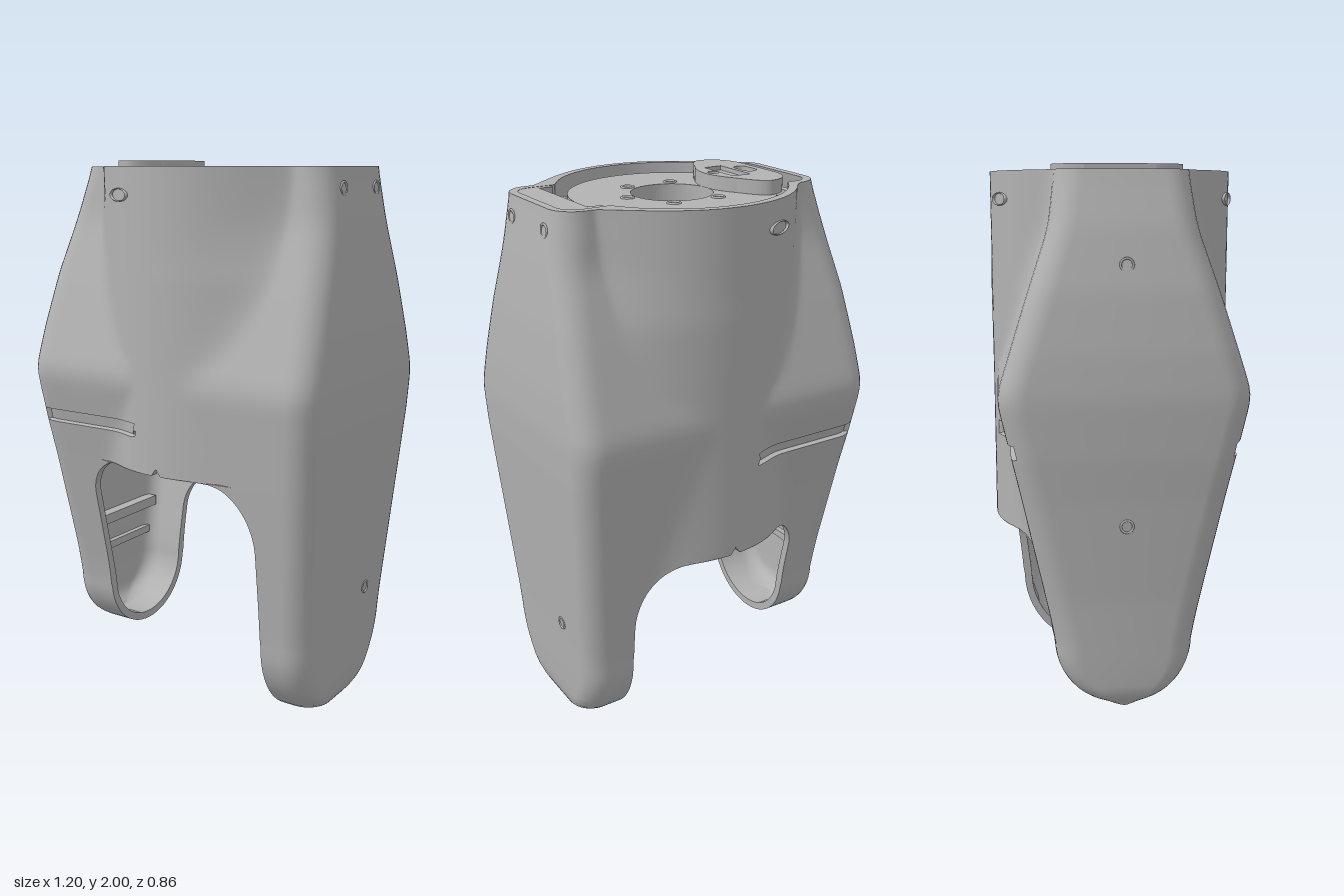
import * as THREE from 'three';
import { toCreasedNormals } from 'three/addons/utils/BufferGeometryUtils.js';

const TOP = 1.98, R = 0.43, WALL = 0.03;
const grey = new THREE.MeshStandardMaterial({ color: 0xb2b2b2, side: THREE.DoubleSide });
grey.name = 'plainGrey';

// Piecewise linear profile, slightly rounded at its corners
const lerpAt = (p, y) => {
  if (y <= p[0][0]) return p[0][1];
  for (let i = 1; i < p.length; i++) if (y <= p[i][0]) {
    const [a, b] = [p[i - 1], p[i]];
    return a[1] + (b[1] - a[1]) * (y - a[0]) / (b[0] - a[0]);
  }
  return p[p.length - 1][1];
};
const soft = (p, y, w) => [-2, -1, 0, 1, 2].reduce((s, k) => s + lerpAt(p, y + k * w) / 5, 0);

// Each pod: half depth and outer width by height, arch corner radii (rx, ry); the right leg is shorter and slimmer
const UPPER = [[1.25, 0.426], [1.55, 0.33], [1.8, 0.245], [1.98, 0.222]];
const SIDES = {
  left: { s: 1, yb: 0, yc: 0.33, blend: 0.16, rx: 0.2, ry: 0.24,
    depth: [[0.3, 0.318], [0.45, 0.335], [0.9, 0.388], ...UPPER],
    width: [[0, 0.43], [0.01, 0.475], [0.03, 0.505], [0.06, 0.525], [0.1, 0.538], [0.4, 0.552], [0.8, 0.578], [1.1, 0.598],
      [1.25, 0.602], [1.4, 0.598], [1.6, 0.585], [1.8, 0.565], [1.98, 0.54]] },
  right: { s: -1, yb: 0.15, yc: 0.38, blend: 0.05, rx: 0.14, ry: 0.15,
    depth: [[0.3, 0.225], [0.45, 0.25], [0.9, 0.347], ...UPPER],
    width: [[0.15, 0.52], [0.17, 0.55], [0.21, 0.57], [0.55, 0.572], [0.9, 0.587], [1.05, 0.597], [1.25, 0.602], [1.4, 0.594],
      [1.6, 0.571], [1.8, 0.53], [1.98, 0.475]] },
};

// Arch cut between the legs: where a row starts in x, with a small V notch at the centre
const FRONT = 0.918, BACK = 0.72;
const archX = (y, ya, rx, ry) => {
  if (y < ya - ry) return 0.37;
  if (y < ya) return 0.37 - rx + rx * Math.sqrt(Math.max(0, 1 - ((y - ya + ry) / ry) ** 2));
  return lerpAt([[ya, 0.37 - rx], [ya + 0.003, 0.02], [ya + 0.03, 0]], y);
};

// One horizontal section: centre front, round the pod, to centre back
function section(side, y, inner) {
  const { s, yb, yc, blend, depth, width, rx, ry } = side, t = inner ? WALL : 0;
  let d = soft(depth, Math.max(y, yc), 0.02) - t, yy = y;
  if (y < yc) {
    const f = Math.sqrt(Math.max(0, 1 - ((yc - y) / (yc - yb)) ** 2));
    d *= f;
    if (inner) yy = yc + (y - yc) * (yc - yb - WALL) / (yc - yb);
  }
  const r = R - t, X = soft(width, y, 0.008) - t, c = Math.min(0.09 - t, d), xe = X - c;
  const k = Math.max(1e-4, (inner ? 0.01 : blend) * Math.min(1, Math.abs(r - d) / 0.12));
  const outline = x => {
    const a = Math.sqrt(Math.max(0, r * r - x * x));
    const h = Math.max(k - Math.abs(a - d), 0) / k;
    return y < yc ? d : Math.max(a, d) + h * h * k / 4;
  };
  const half = ya => {
    const xa = archX(y, ya, rx, ry), pts = [];
    const xm = Math.min(Math.max(Math.sqrt(Math.max(0, r * r - d * d)), xa + 0.3 * (xe - xa)), xe - 0.2 * (xe - xa));
    for (let i = 0; i < 14; i++) { const x = xa + (xm - xa) * i / 14; pts.push([x, outline(x)]); }
    for (let i = 0; i <= 10; i++) { const x = xm + (xe - xm) * i / 10; pts.push([x, outline(x)]); }
    for (let i = 1; i <= 7; i++) {
      const a = i / 7 * Math.PI / 2;
      pts.push([xe + c * Math.sin(a), d - c + c * Math.cos(a)]);
    }
    // long groove on the right pod
    if (s < 0 && !inner && y > 1.05 && y < 1.092) for (const p of pts) if (p[0] > 0.11 && p[0] < 0.562) p[1] -= 0.02;
    return pts;
  };
  const f = half(FRONT).map(([x, z]) => [s * x, yy, z]);
  const b = half(BACK).map(([x, z]) => [s * x, yy, -z]).reverse();
  return [...f, ...b];
}

function loft(rows, flip) {
  const n = rows[0].length, index = [];
  for (let i = 0; i < rows.length - 1; i++) for (let j = 0; j < n - 1; j++) {
    const a = i * n + j, b = a + 1, c = a + n, d = c + 1;
    index.push(...(flip ? [a, c, b, b, c, d] : [a, b, c, b, d, c]));
  }
  const g = new THREE.BufferGeometry();
  g.setAttribute('position', new THREE.Float32BufferAttribute(rows.flat(2), 3));
  g.setIndex(index);
  return toCreasedNormals(g, 0.6);
}

// Row heights, closer together at the rounded foot, arches and groove
function heights({ yb, yc, ry }) {
  const ys = [1.046, 1.0505, 1.0915, 1.096, TOP];
  for (let i = 0; i <= 14; i++) ys.push(yb + (yc - yb) * (1 - Math.cos(i / 14 * Math.PI / 2)));
  for (let y = yc + 0.03; y < TOP - 0.01; y += 0.03) ys.push(y);
  for (const ya of [FRONT, BACK]) {
    for (let i = 0; i <= 10; i++) ys.push(ya - ry + ry * Math.sin(i / 10 * Math.PI / 2));
    ys.push(ya + 0.001, ya + 0.002, ya + 0.003, ya + 0.03);
  }
  return ys.sort((a, b) => a - b).filter((y, i) => i === 0 || y - ys[i - 1] > 0.0004);
}

export function createModel() {
  const model = new THREE.Group();
  model.name = 'legHousing';
  const add = (name, geo, x = 0, y = 0, z = 0, parent = model) => {
    const m = new THREE.Mesh(geo, grey);
    m.name = name;
    m.position.set(x, y, z);
    parent.add(m);
    return m;
  };
  const box = (name, x0, x1, y0, y1, z0, z1) =>
    add(name, new THREE.BoxGeometry(x1 - x0, y1 - y0, z1 - z0), (x0 + x1) / 2, (y0 + y1) / 2, (z0 + z1) / 2);
  const plate = (name, shape, y, h) =>
    add(name, new THREE.ExtrudeGeometry(shape, { depth: h, bevelEnabled: false, curveSegments: 40 }).rotateX(-Math.PI / 2), 0, y, 0);
  const hole = (x, y, r) => new THREE.Path().absarc(x, y, r, 0, Math.PI * 2, true);
  const points = list => list.map(p => new THREE.Vector2(...p));
  const slot = () => {
    const p = new THREE.Path();
    p.absarc(-0.309, 0.025, 0.026, 0, Math.PI);
    p.absarc(-0.309, -0.025, 0.026, Math.PI, Math.PI * 2);
    return p.closePath();
  };

  // Hollow shell in two halves, with rims along the arch and the top
  for (const [name, side] of Object.entries(SIDES)) {
    const ys = heights(side), g = new THREE.Group();
    g.name = name + 'Shell';
    model.add(g);
    const out = ys.map(y => section(side, y, false)), inn = ys.map(y => section(side, y, true));
    const last = out[0].length - 1, top = ys.length - 1;
    add(name + 'OuterWall', loft(out, side.s < 0), 0, 0, 0, g);
    add(name + 'InnerWall', loft(inn, side.s > 0), 0, 0, 0, g);
    add(name + 'FrontArchRim', loft([out.map(r => r[0]), inn.map(r => r[0])]), 0, 0, 0, g);
    add(name + 'BackArchRim', loft([out.map(r => r[last]), inn.map(r => r[last])]), 0, 0, 0, g);
    add(name + 'TopRim', loft([out[top], inn[top]], side.s < 0), 0, 0, 0, g);
  }

  // Solid rim and ledges inside the mouth
  const bridge = new THREE.Shape(points([[0.37, -0.2], [0.46, -0.2], [0.5, -0.175], [0.515, -0.14], [0.515, 0.14], [0.5, 0.175],
    [0.46, 0.2], [0.37, 0.2], [0.37, 0.17], [0.42, 0.17], [0.42, -0.17], [0.37, -0.17]]));
  plate('leftTopBridge', bridge, 1.93, 0.049);
  box('leftLedge', 0.37, 0.43, 1.86, 1.89, -0.18, 0.18);
  box('rightLedge', -0.44, -0.36, 1.84, 1.87, -0.17, 0.17);
  box('rightClip', -0.44, -0.41, 1.87, 1.93, -0.16, -0.05);
  box('rightClip', -0.44, -0.41, 1.87, 1.93, 0.13, 0.16);
  const a0 = Math.acos(0.365 / 0.405);
  for (const s of [1, -1]) {
    const seg = new THREE.Shape().absarc(0, 0, 0.405, s * Math.PI / 2 - a0, s * Math.PI / 2 + a0);
    plate('mouthRib', seg, 1.88, 0.03);
  }

  // Round mounting plate with its screws and ears
  const disc = new THREE.Shape().absarc(0, 0, 0.36, 0, Math.PI * 2);
  disc.holes.push(hole(0, 0, 0.143), slot());
  for (let i = 0; i < 6; i++) disc.holes.push(hole(0.177 * Math.cos(i * Math.PI / 3), 0.177 * Math.sin(i * Math.PI / 3), 0.014));
  plate('mountingPlate', disc, 1.87, 0.08);
  for (let i = 0; i < 6; i++) {
    const a = i * Math.PI / 3;
    add('screwCollar', new THREE.TorusGeometry(0.02, 0.005, 8, 24).rotateX(Math.PI / 2), 0.177 * Math.cos(a), 1.95, 0.177 * Math.sin(a));
  }
  box('plateTab', 0.33, 0.37, 1.87, 1.93, -0.11, 0.11);
  for (const x of [-0.318, 0.318]) for (const z of [-0.185, 0.185]) {
    const ear = new THREE.Shape().absarc(x, z, 0.032, 0, Math.PI * 2);
    ear.holes.push(hole(x, z, 0.013));
    plate('plateEar', ear, 1.9, 0.03);
  }

  // Cover on the right of the mounting plate, with a sunken socket
  const cover = new THREE.Shape();
  cover.moveTo(-0.362, -0.12);
  cover.quadraticCurveTo(-0.34, -0.22, -0.26, -0.225);
  cover.quadraticCurveTo(-0.22, -0.22, -0.18, -0.13);
  cover.quadraticCurveTo(-0.095, 0, -0.18, 0.13);
  cover.quadraticCurveTo(-0.22, 0.22, -0.26, 0.225);
  cover.quadraticCurveTo(-0.34, 0.22, -0.362, 0.12);
  cover.closePath();
  const corners = points([[-0.265, -0.09], [-0.195, -0.09], [-0.195, 0.09], [-0.265, 0.09]]);
  cover.holes.push(slot(), hole(-0.172, 0, 0.02), new THREE.Path(corners).closePath());
  plate('cover', cover, 1.951, 0.049);
  const socket = new THREE.Shape(corners);
  socket.holes.push(hole(-0.225, 0.06, 0.012), hole(-0.225, -0.06, 0.012));
  plate('coverSocket', socket, 1.951, 0.034);

  // Screw seats on the outer faces and oval ports on the round wall
  const seats = [['left', 1.91, 0.12], ['left', 1.91, -0.12], ['left', 0.45, -0.12], ['right', 1.68, 0], ['right', 0.82, 0]];
  for (const [name, y, z] of seats) {
    const side = SIDES[name], x = side.s * soft(side.width, y, 0.008);
    add(name + 'ScrewSeat', new THREE.TorusGeometry(0.021, 0.004, 8, 24).rotateY(Math.PI / 2), x, y, z);
  }
  for (const s of [1, -1]) {
    const port = add('ovalPort', new THREE.TorusGeometry(0.05, 0.004, 8, 32), -0.165, 1.885, s * 0.398);
    port.scale.set(1.05, 0.42, 1.6);
    port.rotation.y = -s * 0.394;
  }

  // Bearing disc inside the left leg and cross steps inside the right leg
  add('leftBearing', new THREE.CylinderGeometry(0.22, 0.22, 0.03, 40).rotateZ(Math.PI / 2), 0.508, 0.36, 0);
  box('rightStep', -0.545, -0.5, 0.56, 0.6, -0.225, 0.225);
  box('rightStep', -0.545, -0.52, 0.44, 0.47, -0.2, 0.2);
  return model;
}
